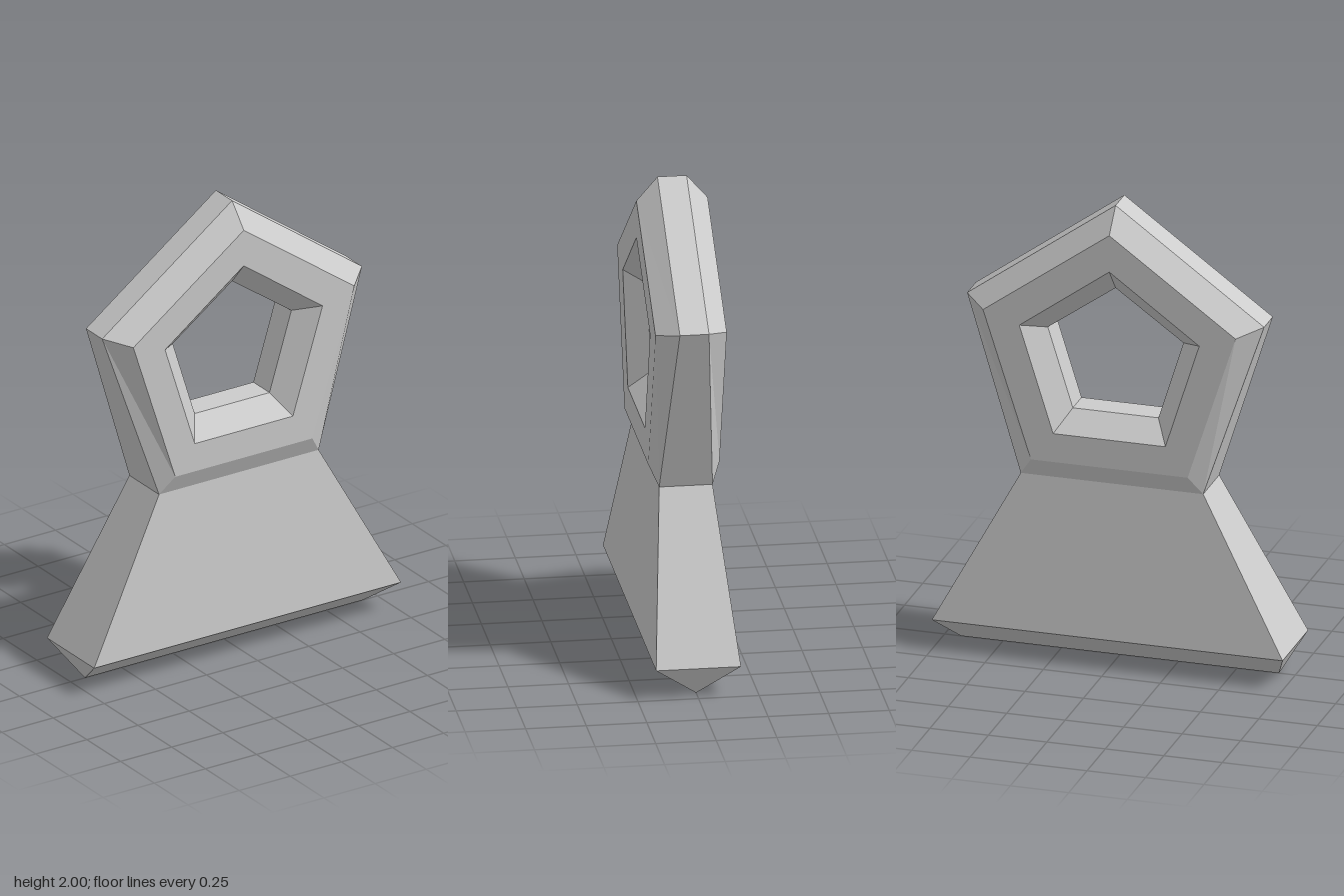
import * as THREE from 'three';

// Skins consecutive loops of points with flat quads; skip(k, i) leaves a quad open.
function skinLoops(name, loops, closed, skip = () => false) {
  const positions = [];
  const triangle = (a, b, c) => {
    if (new THREE.Triangle(a, b, c).getArea() > 1e-6) {
      for (const p of [a, b, c]) positions.push(p.x, p.y, p.z);
    }
  };
  const spans = closed ? loops.length : loops.length - 1;
  for (let k = 0; k < spans; k++) {
    const lower = loops[k], upper = loops[(k + 1) % loops.length];
    for (let i = 0; i < lower.length; i++) {
      if (skip(k, i)) continue;
      const j = (i + 1) % lower.length;
      triangle(lower[i], lower[j], upper[j]);
      triangle(lower[i], upper[j], upper[i]);
    }
  }
  const geometry = new THREE.BufferGeometry();
  geometry.setAttribute('position', new THREE.Float32BufferAttribute(positions, 3));
  geometry.computeVertexNormals();
  const material = new THREE.MeshStandardMaterial({ color: 0xcccccc, flatShading: true });
  const mesh = new THREE.Mesh(geometry, material);
  mesh.name = name;
  return mesh;
}

// Mirrored pentagon, counter-clockwise from the lower right corner.
function pentagon([footX, footY], [sideX, sideY], topY, footZ, z) {
  return [
    [footX, footY, footZ], [sideX, sideY, z], [0, topY, z],
    [-sideX, sideY, z], [-footX, footY, footZ],
  ].map((p) => new THREE.Vector3(...p));
}

// Rectangle at height y, counter-clockwise from the front left corner.
function rectangle(x, y, z) {
  return [[-x, z], [x, z], [x, -z], [-x, -z]].map(([px, pz]) => new THREE.Vector3(px, y, pz));
}

export function createModel() {
  const model = new THREE.Group();
  model.name = 'pentagonHandleTool';

  // Bevelled pentagonal ring: outer edge, face edges, hole edge, then the back mirrored
  const front = [
    pentagon([0.39, 0.795], [0.635, 1.54], 2.0, 0.11, 0.06),
    pentagon([0.335, 0.875], [0.54, 1.51], 1.9, 0.147, 0.147),
    pentagon([0.24, 1.0], [0.385, 1.46], 1.74, 0.147, 0.147),
    pentagon([0.183, 1.087], [0.29, 1.43], 1.637, 0.06, 0.06),
  ];
  const back = front.map((loop) => loop.map((p) => new THREE.Vector3(p.x, p.y, -p.z))).reverse();
  // The ring's underside is left open where the blade joins it
  model.add(skinLoops('ringHandle', [...front, ...back], true, (k, i) => k === 7 && i === 4));

  // Flared blade, tapering below to a straight cutting edge
  model.add(skinLoops('blade', [
    rectangle(0.68, 0, 0),
    rectangle(0.75, 0.13, 0.175),
    rectangle(0.39, 0.795, 0.11),
  ], false));

  return model;
}
